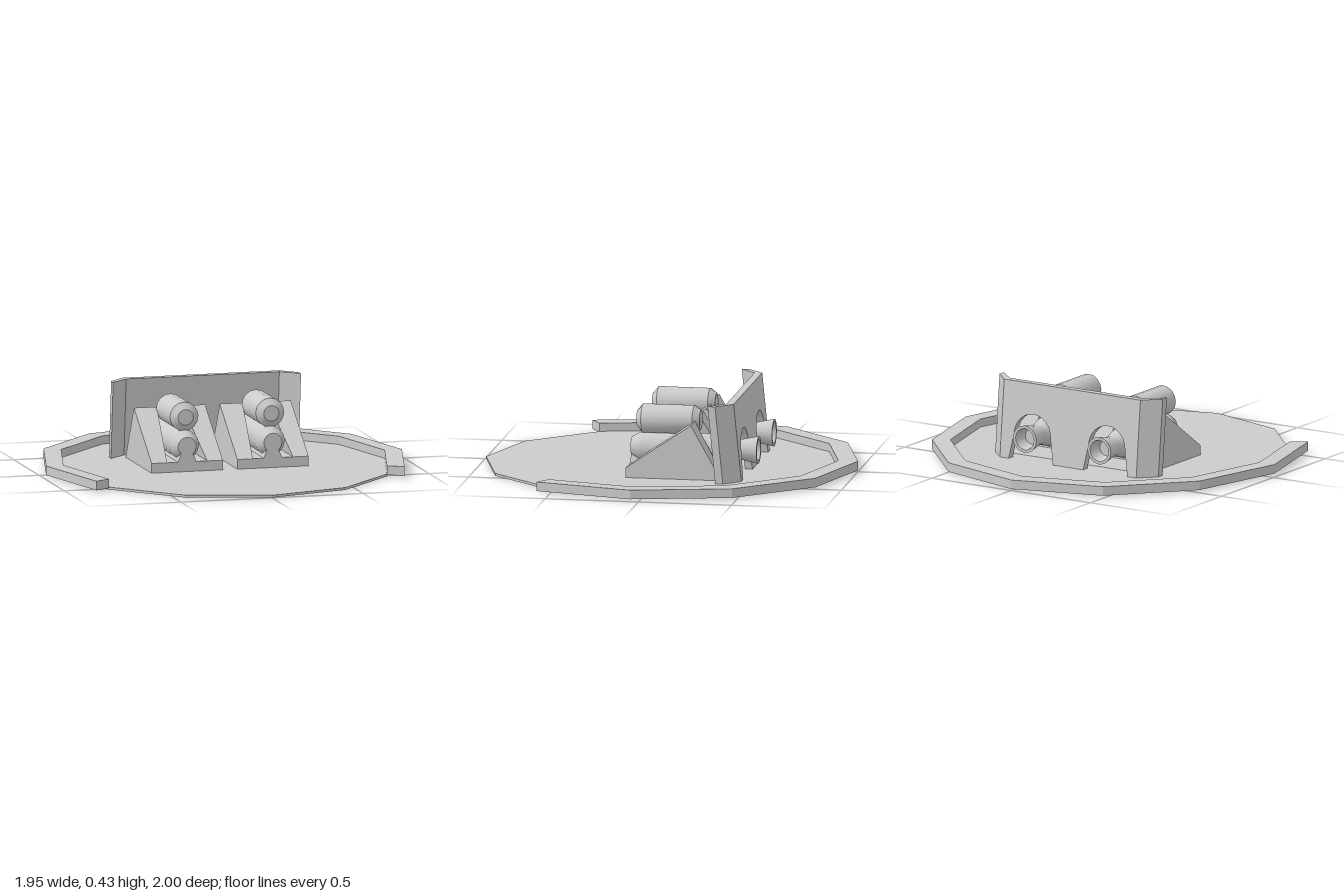
import * as THREE from 'three';
import { toCreasedNormals } from 'three/addons/utils/BufferGeometryUtils.js';

const grey = new THREE.MeshStandardMaterial({ color: 0xcccccc });

function addMesh(parent, name, geometry) {
  const mesh = new THREE.Mesh(geometry, grey);
  mesh.name = name;
  parent.add(mesh);
  return mesh;
}

const shapeOf = (pts) => new THREE.Shape(pts.map(([x, y]) => new THREE.Vector2(x, y)));
const extrude = (shape, depth) =>
  new THREE.ExtrudeGeometry(shape, { depth, bevelEnabled: false, curveSegments: 6 });

// Plan outline in (x, z), raised from y = bottom to y = top
const slab = (pts, bottom, top) =>
  extrude(shapeOf(pts), top - bottom).rotateX(Math.PI / 2).translate(0, top, 0);

// Point i of a twelve-sided oval, counted from the back
const oval = (i, rx, rz) => {
  const a = (i * Math.PI) / 6;
  return [rx * Math.sin(a), 0.05 - rz * Math.cos(a)];
};

// Body of revolution along z, from (radius, z) pairs running back to front
function turned(pts) {
  const profile = pts.map(([r, z]) => new THREE.Vector2(r, z));
  return toCreasedNormals(new THREE.LatheGeometry(profile, 16).rotateX(Math.PI / 2), 0.45);
}

// Move vertices by a rule and renew the normals
function reshape(geometry, rule) {
  const p = geometry.attributes.position;
  const v = new THREE.Vector3();
  for (let i = 0; i < p.count; i++) {
    v.fromBufferAttribute(p, i);
    rule(v);
    p.setXYZ(i, v.x, v.y, v.z);
  }
  geometry.computeVertexNormals();
  return geometry;
}

// Side profile in (z, y), extruded one unit so that x is -1 or 0
const sideProfile = (pts) => extrude(shapeOf(pts), 1).rotateY(-Math.PI / 2);

// One launcher: base, two ramps and two stacked tanks
function makeLauncher() {
  const g = new THREE.Group();
  const half = 0.195;

  const base = sideProfile([[0.17, 0.01], [0.17, 0.065], [-0.315, 0.065], [-0.345, 0.01]]);
  addMesh(g, 'launcherBase', reshape(base, (v) => { v.x = (v.x + 0.5) * 2 * half; }));

  for (const side of [-1, 1]) {
    // Inner faces lean towards the tanks as they rise
    const ramp = sideProfile([[0.17, 0.065], [-0.18, 0.305], [-0.315, 0.065]]);
    reshape(ramp, (v) => {
      const outer = (v.x > -0.5) === (side > 0);
      v.x = side * (outer ? half : 0.11 - ((v.y - 0.065) / 0.24) * 0.04);
    });
    addMesh(g, side > 0 ? 'leftRamp' : 'rightRamp', ramp);
  }

  // Lower tank with a hollow flared nozzle
  addMesh(g, 'lowerTank', turned([
    [0, -0.44], [0.042, -0.44], [0.058, -0.51], [0.074, -0.51], [0.055, -0.42],
    [0.055, -0.38], [0.08, -0.3], [0.08, 0.115], [0.05, 0.17], [0, 0.17],
  ])).position.y = 0.147;

  // Flared foot under the lower tank
  addMesh(g, 'tankFoot',
    extrude(shapeOf([[-0.052, 0.06], [0.052, 0.06], [0.03, 0.115], [-0.03, 0.115]]), 0.46)
      .translate(0, 0, -0.29));

  addMesh(g, 'upperTank', turned([
    [0, -0.2], [0.052, -0.2], [0.078, -0.165], [0.078, 0.11], [0.042, 0.14], [0, 0.14],
  ])).position.y = 0.298;
  return g;
}

// Leaning shield with two arches and angled wings
function makeShield() {
  const g = new THREE.Group();
  g.name = 'shield';
  const top = 0.428, bottom = 0.01;
  const lean = (v) => { v.z += 0.1 * (v.y - top); };

  const panel = new THREE.Shape();
  panel.moveTo(0.43, bottom);
  panel.lineTo(0.43, top);
  panel.lineTo(-0.43, top);
  panel.lineTo(-0.43, bottom);
  for (const x of [-0.235, 0.235]) {
    panel.lineTo(x - 0.14, bottom);
    panel.lineTo(x - 0.115, 0.15);
    panel.absarc(x, 0.15, 0.115, Math.PI, 0, true);
    panel.lineTo(x + 0.14, bottom);
  }
  addMesh(g, 'shieldPanel', reshape(extrude(panel, 0.04).translate(0, 0, -0.41), lean));

  for (const s of [-1, 1]) {
    const plan = [[0.43, -0.41], [0.515, -0.325], [0.515, -0.285], [0.42, -0.37]]
      .map(([x, z]) => [s * x, z]);
    addMesh(g, s > 0 ? 'leftWing' : 'rightWing', reshape(slab(plan, bottom, top), lean));
  }
  return g;
}

export function createModel() {
  const model = new THREE.Group();
  model.name = 'launcherPlatform';

  // Thin twelve-sided deck
  const deck = Array.from({ length: 12 }, (_, i) => oval(i, 0.88, 0.945));
  addMesh(model, 'deck', slab(deck, 0, 0.013));

  // Raised rim, open at the front
  const steps = [-4, -3, -2, -1, 0, 1, 2, 3, 4];
  const outer = steps.map((i) => oval(i, 0.975, 1.05));
  const inner = steps.map((i) => oval(i, 0.88, 0.945)).reverse();
  addMesh(model, 'rim', slab([...outer, ...inner], 0.008, 0.057));

  for (const side of [-1, 1]) {
    const launcher = makeLauncher();
    launcher.name = side > 0 ? 'leftLauncher' : 'rightLauncher';
    launcher.position.x = side * 0.235;
    model.add(launcher);
  }
  model.add(makeShield());
  return model;
}
